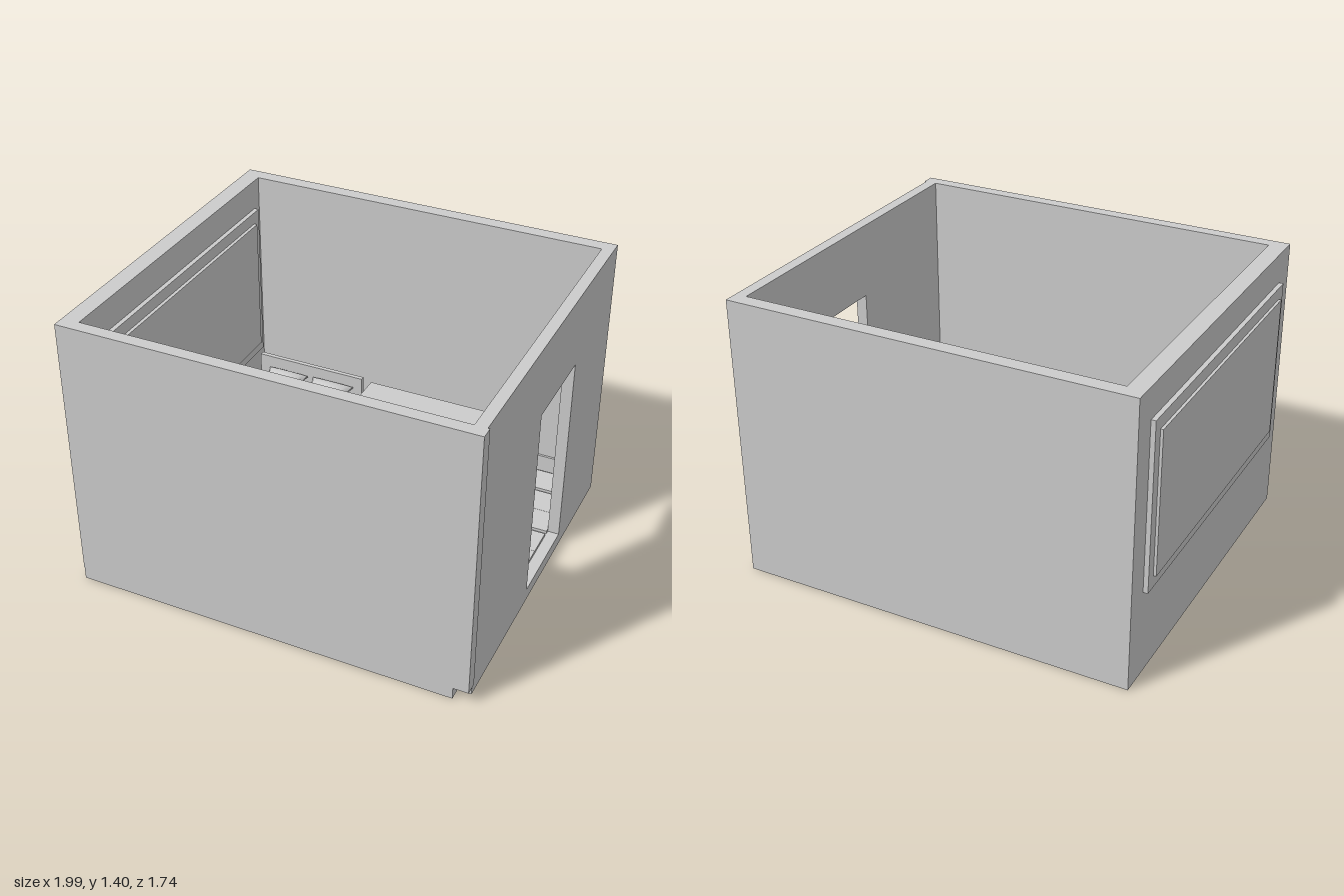
import * as THREE from 'three';
import { RoundedBoxGeometry } from 'three/addons/geometries/RoundedBoxGeometry.js';

const grey = new THREE.MeshStandardMaterial({ color: 0xcccccc });

export function createModel() {
  const room = new THREE.Group();
  room.name = 'bedroom';

  const add = (parent, name, geometry) => {
    const mesh = new THREE.Mesh(geometry, grey);
    mesh.name = name;
    parent.add(mesh);
    return mesh;
  };
  // Box from its two limits on each axis, with optional rounded edges
  const box = (parent, name, [x0, x1], [y0, y1], [z0, z1], radius = 0) => {
    const size = [x1 - x0, y1 - y0, z1 - z0];
    const geometry = radius ? new RoundedBoxGeometry(...size, 4, radius) : new THREE.BoxGeometry(...size);
    const mesh = add(parent, name, geometry);
    mesh.position.set((x0 + x1) / 2, (y0 + y1) / 2, (z0 + z1) / 2);
    return mesh;
  };
  const group = (name) => {
    const g = new THREE.Group();
    g.name = name;
    room.add(g);
    return g;
  };

  // Floor slab, notched at the front left corner
  const floor = group('floor');
  box(floor, 'floorSlab', [-0.965, 0.92], [0.012, 0.075], [-0.87, 0.87]);
  box(floor, 'floorSlabEdge', [0.92, 0.985], [0.012, 0.075], [-0.87, 0.81]);

  // Staggered floorboards, laid in pairs of rows
  const joints = [[-0.88, 0.024, 0.94], [-0.88, -0.425, 0.474, 0.94]];
  for (let row = 0; row < 10; row++) {
    const pair = Math.floor((row + 1) / 2);
    const z0 = -0.787 + row * 0.15 + pair * 0.02;
    const xs = joints[row % 2];
    for (let i = 0; i < xs.length - 1; i++) {
      box(floor, 'floorboard', [xs[i] + 0.011, xs[i + 1] - 0.011], [0.07, 0.09], [z0, z0 + 0.149]);
    }
  }

  // Walls
  const walls = group('walls');
  box(walls, 'frontWall', [-0.965, 0.994], [0.075, 1.41], [0.812, 0.873]);
  box(walls, 'backWall', [-0.965, 0.985], [0.075, 1.41], [-0.87, -0.8]);
  box(walls, 'rightWall', [-0.965, -0.88], [0.075, 1.41], [-0.8, 0.812]);
  const outline = new THREE.Shape([
    [-0.812, 0.075], [-0.12, 0.075], [-0.12, 1.05], [0.34, 1.05],
    [0.34, 0.075], [0.87, 0.075], [0.87, 1.41], [-0.812, 1.41],
  ].map(([u, v]) => new THREE.Vector2(u, v)));
  const doorWall = new THREE.ExtrudeGeometry(outline, { depth: 0.056, bevelEnabled: false });
  doorWall.rotateY(Math.PI / 2);
  add(walls, 'leftWallWithDoorway', doorWall).position.x = 0.929;
  box(walls, 'backSkirting', [-0.88, 0.93], [0.09, 0.18], [-0.8, -0.788]);
  box(walls, 'rightSkirting', [-0.88, -0.87], [0.09, 0.18], [-0.8, 0.812]);

  // Window passing through the right wall
  const windowUnit = group('window');
  box(windowUnit, 'windowFrame', [-0.987, -0.857], [0.44, 1.26], [-0.75, 0.75]);
  box(windowUnit, 'windowPane', [-1, -0.84], [0.5, 1.2], [-0.7, 0.7]);

  // Bed
  const bed = group('bed');
  box(bed, 'bedBase', [-0.84, -0.254], [0.09, 0.25], [-0.735, 0.19]);
  box(bed, 'headboard', [-0.853, -0.254], [0.09, 0.42], [-0.735, -0.712]);
  box(bed, 'mattress', [-0.83, -0.28], [0.24, 0.305], [-0.71, 0.165], 0.02);
  box(bed, 'blanket', [-0.836, -0.265], [0.245, 0.32], [-0.45, 0.178], 0.025);
  box(bed, 'blanketFold', [-0.842, -0.256], [0.25, 0.335], [-0.486, -0.4], 0.025);

  // Pillows with pinched corners and hollow sides
  const pillow = (x, z, width, depth) => {
    const geometry = new THREE.BoxGeometry(2, 2, 2, 20, 2, 14);
    const p = geometry.attributes.position;
    for (let i = 0; i < p.count; i++) {
      const u = p.getX(i), v = p.getZ(i);
      const puff = Math.sqrt(Math.max(0, (1 - u * u) * (1 - v * v)));
      p.setXYZ(i,
        (width / 2) * u * (1 - 0.1 * (1 - v * v)),
        p.getY(i) * (0.004 + 0.036 * puff),
        (depth / 2) * v * (1 - 0.14 * (1 - u * u)));
    }
    geometry.computeVertexNormals();
    const mesh = add(bed, 'pillow', geometry);
    mesh.position.set(x, 0.345, z);
    mesh.rotation.x = 0.2;
  };
  pillow(-0.68, -0.65, 0.225, 0.11);
  pillow(-0.42, -0.65, 0.235, 0.12);

  // Trestle table beside the bed
  const table = group('table');
  box(table, 'tableTop', [-0.207, 0.64], [0.375, 0.405], [-0.73, -0.378]);
  for (const x of [-0.09, 0.52]) {
    box(table, 'tableFoot', [x - 0.025, x + 0.025], [0.09, 0.12], [-0.68, -0.43]);
    box(table, 'tablePost', [x - 0.02, x + 0.02], [0.12, 0.375], [-0.59, -0.52]);
  }
  box(table, 'tableStretcher', [-0.09, 0.52], [0.2, 0.23], [-0.57, -0.54]);

  // Chest of drawers by the front wall
  const chest = group('chestOfDrawers');
  box(chest, 'chestTop', [-0.84, -0.246], [0.43, 0.45], [0.49, 0.798]);
  box(chest, 'chestBody', [-0.83, -0.256], [0.09, 0.43], [0.51, 0.798]);
  for (let column = 0; column < 2; column++) {
    for (let row = 0; row < 3; row++) {
      const x = -0.82 + column * 0.282, y = 0.105 + row * 0.107;
      box(chest, 'drawerFront', [x, x + 0.272], [y, y + 0.097], [0.502, 0.515]);
      box(chest, 'drawerHandle', [x + 0.1, x + 0.172], [y + 0.045, y + 0.055], [0.494, 0.504]);
    }
  }

  return room;
}
